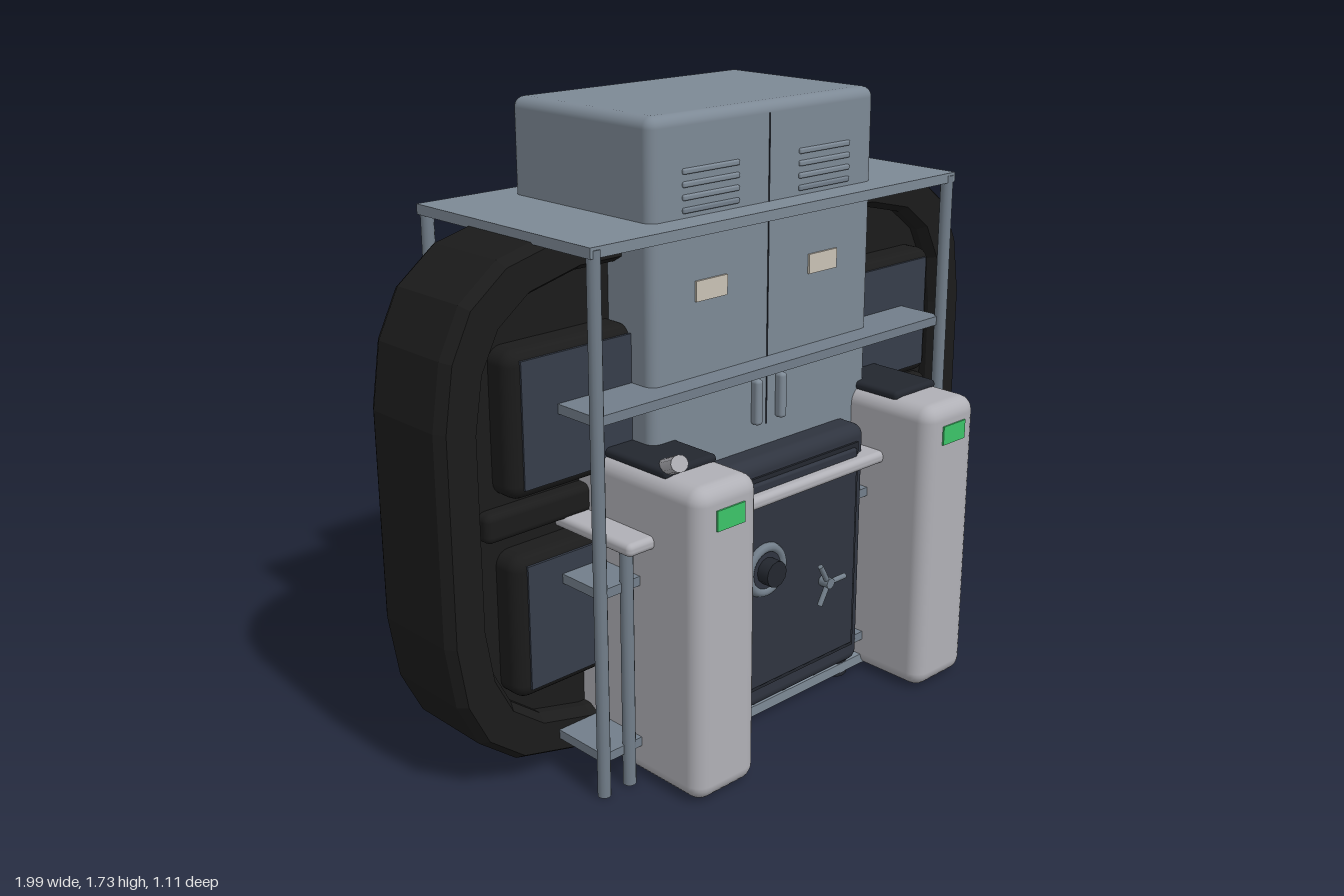
import * as THREE from 'three';
import { RoundedBoxGeometry } from 'three/addons/geometries/RoundedBoxGeometry.js';

const paint = (name, color) => Object.assign(new THREE.MeshStandardMaterial({ color }), { name });

export function createModel() {
  const steel = paint('blue grey steel', 0x7d8995);
  const rackSteel = paint('rack steel', 0x727e8a);
  const pale = paint('pale grey', 0xb0b0b6);
  const navy = paint('dark slate', 0x2f343f);
  const dark = paint('dark trim', 0x23272f);
  const black = paint('black rubber', 0x1b1b1b);
  const green = paint('green display', 0x3cc468);
  const beige = paint('beige label', 0xc9c2b5);
  const tan = paint('tan', 0xa87640);
  const blue = paint('dull blue pane', 0x363d4a);

  const root = new THREE.Group();
  const group = (name) => {
    const g = new THREE.Group();
    g.name = name;
    root.add(g);
    return g;
  };
  const add = (parent, name, geometry, material, x = 0, y = 0, z = 0) => {
    const m = new THREE.Mesh(geometry, material);
    m.name = name;
    m.position.set(x, y, z);
    parent.add(m);
    return m;
  };
  // Box given by its limits on each axis, rounded when r > 0
  const box = (parent, name, material, [x0, x1], [y0, y1], [z0, z1], r = 0) => {
    const s = [x1 - x0, y1 - y0, z1 - z0];
    const geo = r ? new RoundedBoxGeometry(...s, 3, r) : new THREE.BoxGeometry(...s);
    return add(parent, name, geo, material, (x0 + x1) / 2, (y0 + y1) / 2, (z0 + z1) / 2);
  };
  // Round bar between two points
  const rod = (parent, name, material, a, b, r) => {
    const p = new THREE.Vector3(...a), q = new THREE.Vector3(...b);
    const m = add(parent, name, new THREE.CylinderGeometry(r, r, p.distanceTo(q), 12), material);
    m.position.copy(p).add(q).multiplyScalar(0.5);
    m.quaternion.setFromUnitVectors(new THREE.Vector3(0, 1, 0), q.sub(p).normalize());
    return m;
  };

  // Tall locker with vents, labels and handles
  const locker = group('locker');
  box(locker, 'lockerBody', steel, [-0.42, 0.42], [0.025, 1.74], [-0.285, 0.265], 0.03);
  box(locker, 'doorSeam', dark, [-0.002, 0.002], [0.86, 1.71], [0.262, 0.267]);
  for (const s of [-1, 1]) {
    box(locker, 'lockerHandle', steel, [s * 0.047 - 0.013, s * 0.047 + 0.013], [0.87, 1.0], [0.26, 0.29], 0.01);
    box(locker, 'lockerLabel', beige, [s * 0.213 - 0.056, s * 0.213 + 0.056], [1.255, 1.31], [0.263, 0.271]);
    for (let i = 0; i < 4; i++)
      box(locker, 'ventSlat', i ? steel : rackSteel, [s * 0.213 - 0.1, s * 0.213 + 0.1],
        [1.49 + i * 0.033, 1.505 + i * 0.033], [0.26, 0.272], 0.005);
  }
  // Base plate with pale inspection panel below
  box(locker, 'basePlate', steel, [-0.4, 0.4], [0.02, 0.05], [-0.38, 0.33]);
  box(locker, 'undersidePanel', beige, [-0.16, 0.16], [0.016, 0.022], [-0.14, 0.14]);

  // Open rack
  const rack = group('rack');
  box(rack, 'rackTop', steel, [-0.685, 0.685], [1.45, 1.478], [-0.352, 0.348]);
  for (const y of [1.04, 0.58, 0.115])
    box(rack, 'rackShelf', rackSteel, [-0.665, 0.665], [y - 0.013, y + 0.013], [-0.335, 0.335]);
  for (const x of [-0.665, 0.665])
    for (const z of [-0.335, 0.335])
      rod(rack, 'rackPost', rackSteel, [x, 0.01, z], [x, 1.47, z], 0.018);

  // Table and the rear shelf with its two objects
  const table = group('table');
  box(table, 'tableTop', pale, [-0.615, 0.615], [0.682, 0.718], [-0.39, 0.39], 0.015);
  for (const x of [-0.577, 0.577])
    for (const z of [-0.335, 0.335])
      rod(table, 'tableLeg', rackSteel, [x, 0.01, z], [x, 0.7, z], 0.018);
  const shelf = group('rearShelf');
  box(shelf, 'shelfBoard', pale, [-0.62, 0.62], [1.175, 1.203], [-0.39, -0.17], 0.012);
  box(shelf, 'greyBox', steel, [0.23, 0.37], [1.2, 1.345], [-0.355, -0.28], 0.015);
  box(shelf, 'tanBlock', tan, [-0.47, -0.28], [1.2, 1.29], [-0.36, -0.28], 0.008);
  box(shelf, 'tanArm', tan, [-0.47, -0.39], [1.2, 1.29], [-0.31, -0.2], 0.008);

  // Barrier slabs with caps, green displays and a lever
  const barriers = group('barriers');
  for (const x of [-0.423, 0.466]) {
    box(barriers, 'barrierSlab', pale, [x - 0.109, x + 0.109], [0.01, 0.88], [-0.552, 0.552], 0.045);
    box(barriers, 'barrierCap', dark, [x - 0.09, x + 0.09], [0.87, 0.897], [-0.415, 0.415], 0.012);
    box(barriers, 'greenDisplay', green, [x - 0.048, x + 0.048], [0.765, 0.82], [0.549, 0.557]);
  }
  rod(barriers, 'lever', pale, [-0.45, 0.87, 0.34], [-0.56, 0.957, 0.515], 0.022);

  // Safe with door, dial and three-spoke handle
  const safe = group('safe');
  box(safe, 'safeBody', navy, [-0.32, 0.335], [0.05, 0.8], [-0.415, 0.345], 0.035);
  box(safe, 'doorFrame', dark, [-0.292, 0.292], [0.115, 0.755], [0.34, 0.352]);
  box(safe, 'safeDoor', navy, [-0.28, 0.28], [0.128, 0.742], [0.34, 0.362], 0.008);
  for (const x of [-0.27, 0.28])
    for (const z of [-0.35, 0.29])
      rod(safe, 'safeFoot', dark, [x, 0.008, z], [x, 0.07, z], 0.04);
  add(safe, 'dialRing', new THREE.TorusGeometry(0.065, 0.014, 8, 28), rackSteel, -0.1, 0.485, 0.365);
  rod(safe, 'dialPlate', navy, [-0.1, 0.485, 0.355], [-0.1, 0.485, 0.372], 0.06);
  rod(safe, 'dialKnob', dark, [-0.1, 0.485, 0.36], [-0.1, 0.485, 0.41], 0.038);
  rod(safe, 'handleHub', rackSteel, [0.14, 0.375, 0.355], [0.14, 0.375, 0.395], 0.016);
  for (const deg of [0, 120, 240]) {
    const a = THREE.MathUtils.degToRad(deg);
    rod(safe, 'handleSpoke', rackSteel, [0.14, 0.375, 0.385],
      [0.14 + Math.cos(a) * 0.07, 0.375 + Math.sin(a) * 0.07, 0.385], 0.008);
  }

  // Large low-poly black ring passing through both sides
  const ring = group('ring');
  const corner = [[0.997, 0.3], [0.97, 0.47], [0.91, 0.59], [0.8, 0.675], [0.62, 0.72]];
  const cy = 0.755;
  const loop = (pts) => {
    const up = pts.map(([x, y]) => [x, y]), turned = [...pts].reverse();
    return [
      ...up, ...turned.map(([x, y]) => [-x, y]),
      ...pts.map(([x, y]) => [-x, -y]), ...turned.map(([x, y]) => [x, -y]),
    ].map(([x, y]) => new THREE.Vector2(x, y + cy));
  };
  const tyre = new THREE.Shape(loop(corner.map(([x, y]) => [x - 0.018, y - 0.018])));
  tyre.holes.push(new THREE.Path(loop(corner.map(([x, y]) => [x * 0.895, y * 0.87])).reverse()));
  const tyreGeo = new THREE.ExtrudeGeometry(tyre, {
    depth: 0.25, bevelEnabled: true, bevelThickness: 0.03, bevelSize: 0.018, bevelSegments: 1,
  });
  add(ring, 'outerRing', tyreGeo, black, 0, 0, -0.125);
  // Recessed web, rims and panes inside the ring
  for (const s of [-1, 1]) {
    const span = (a, b) => (s > 0 ? [a, b] : [-b, -a]);
    box(ring, 'innerWeb', black, span(0.3, s > 0 ? 0.9 : 0.865), [0.2, 1.33], [-0.1, 0.1]);
    box(ring, 'lowerWeb', black, span(0.3, 0.9), [0.2, 0.75], [-0.1, 0.1]);
    box(ring, 'upperWeb', black, span(0.3, 0.78), [1.3, 1.42], [-0.1, 0.1]);
    box(ring, 'baseWeb', black, span(0.3, 0.78), [0.09, 0.22], [-0.1, 0.1]);
    box(ring, 'crossBar', black, span(0.4, 0.86), [0.71, 0.79], [-0.14, 0.14], 0.02);
    for (const [y0, y1] of [[0.27, 0.67], [0.82, 1.21]]) {
      box(ring, 'paneBlock', black, span(0.4, 0.81), [y0, y1], [-0.183, 0.183], 0.04);
      for (const z of [-0.183, 0.183])
        box(ring, 'pane', blue, span(0.42, 0.775), [y0 + 0.03, y1 - 0.025], [z - 0.004, z + 0.004]);
    }
  }
  return root;
}
